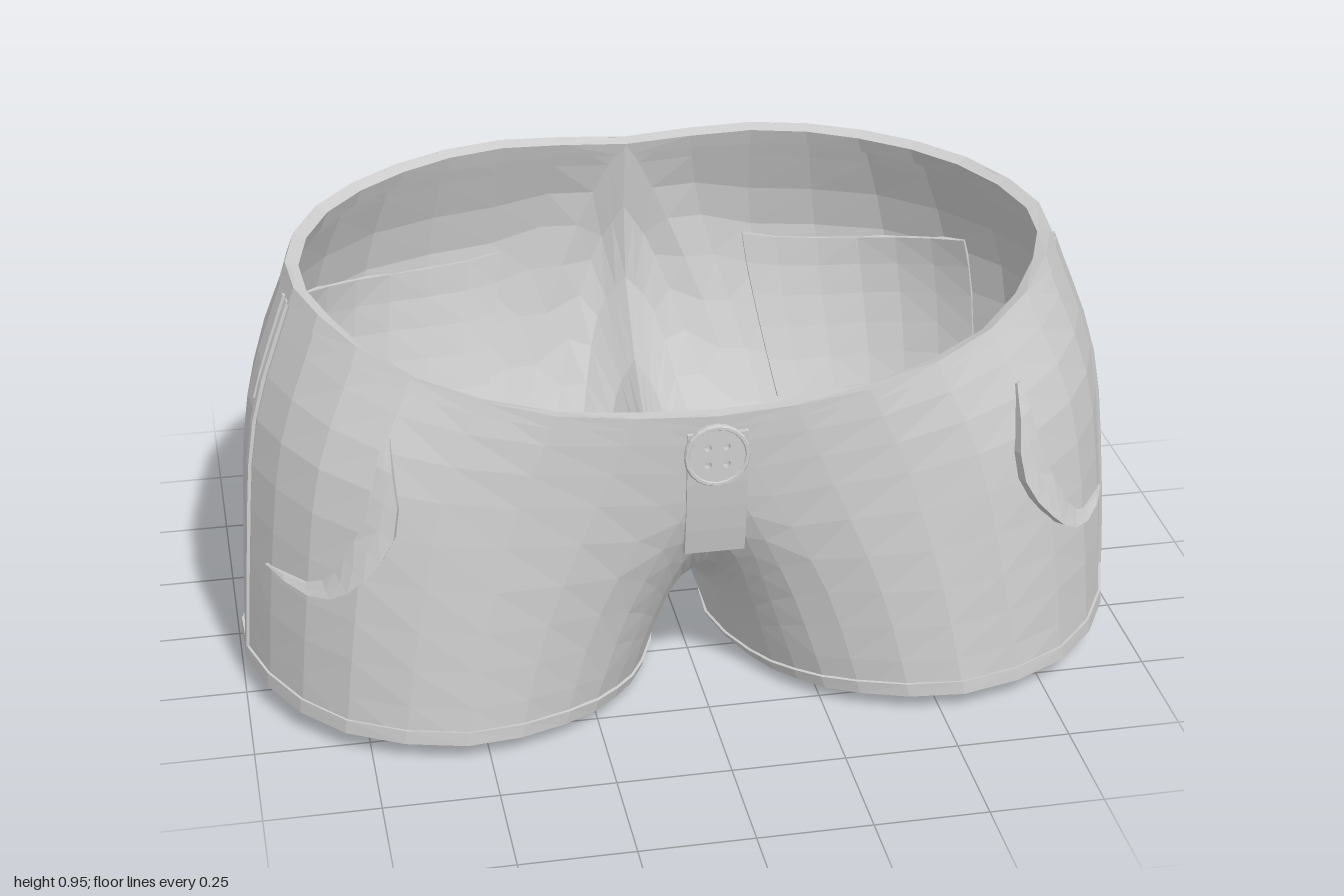
import * as THREE from 'three';

const material = new THREE.MeshStandardMaterial({ color: 0xcccccc, flatShading: true, side: THREE.DoubleSide });

const toPoints = (a) => a.map((p) => new THREE.Vector3(...p));

// One half of the garment is a loft between closed loops, from the waist and centre seam to the leg opening.
// Points 0-8 run back to front round the outside, 8-13 return along the crotch.
const waist = toPoints([
  [0, .935, -.54], [.3, .955, -.525], [.55, .95, -.44], [.75, .945, -.25], [.84, .945, .03], [.79, .92, .25], [.62, .845, .43],
  [.33, .785, .54], [0, .77, .57], [0, .55, .555], [0, .36, .46], [0, .2, .15], [0, .28, -.25], [0, .57, -.545],
]);
const hip = [
  [.11, .7, -.58], [.32, .66, -.6], [.63, .66, -.505], [.86, .65, -.27], [.945, .65, .06], [.89, .65, .3], [.72, .62, .49],
  [.42, .58, .555], [.12, .56, .56], [.07, .45, .535], [.05, .3, .42], [.03, .15, .15], [.035, .19, -.22], [.07, .47, -.545],
];
const thigh = [
  [.23, .37, -.51], [.38, .34, -.5], [.66, .34, -.44], [.88, .34, -.25], [.975, .34, .08], [.93, .34, .32], [.77, .32, .515],
  [.5, .3, .585], [.25, .3, .55], [.14, .25, .48], [.095, .17, .375], [.05, .085, .15], [.065, .1, -.15], [.13, .25, -.41],
];
const legOpening = [
  [.3, .008, -.275], [.45, .008, -.305], [.65, .02, -.315], [.87, .04, -.19], [.99, .06, .08], [.95, .06, .32], [.8, .05, .52],
  [.55, .045, .61], [.33, .04, .555], [.21, .035, .465], [.13, .03, .345], [.07, .022, .14], [.1, .016, -.06], [.18, .01, -.2],
];

const spline = (pts, closed) => new THREE.CatmullRomCurve3(pts, closed, 'catmullrom', 0.5);
const waistEdge = spline(waist.slice(0, 9), false);
const centreSeam = spline([...waist.slice(8), waist[0]], false);
const lowerLoops = [hip, thigh, legOpening].map((a) => spline(toPoints(a), true));

// Point on the cloth: u = 0..14 around the loop, v = 0 (top) .. 1 (leg opening)
function surfacePoint(u, v) {
  u = ((u % 14) + 14) % 14;
  const top = u <= 8 ? waistEdge.getPoint(u / 8) : centreSeam.getPoint((u - 8) / 6);
  const column = [top, ...lowerLoops.map((c) => c.getPoint(u / 14))];
  return spline(column, false).getPoint(Math.min(1, Math.max(0, v)));
}

function surfaceNormal(u, v, lo, hi) {
  const e = 0.05;
  const du = surfacePoint(Math.min(hi, u + e), v).sub(surfacePoint(Math.max(lo, u - e), v));
  const dv = surfacePoint(u, Math.min(1, v + e)).sub(surfacePoint(u, Math.max(0, v - e)));
  return du.cross(dv).normalize();
}

// Joins rows of points into a surface, splitting each quad along its shorter diagonal
function loft(rows, extraFaces = []) {
  const n = rows[0].length, pts = rows.flat();
  const index = [...extraFaces];
  for (let i = 0; i < rows.length - 1; i++) {
    for (let j = 0; j < n - 1; j++) {
      const a = i * n + j, b = a + n;
      if (pts[b].distanceTo(pts[a + 1]) < pts[a].distanceTo(pts[b + 1])) index.push(a, b, a + 1, b, b + 1, a + 1);
      else index.push(a, b, b + 1, a, b + 1, a + 1);
    }
  }
  const g = new THREE.BufferGeometry().setFromPoints(pts);
  g.setIndex(index);
  g.computeVertexNormals();
  return g;
}

// Raised piece of cloth following the surface; place(s, t) returns [u, v, outward lift]
function slab(place, ns, nt, depth, lo = -99, hi = 99) {
  const rows = [];
  for (let i = 0; i <= ns; i++) {
    const outer = [], inner = [];
    for (let j = 0; j <= nt; j++) {
      const [u, v, lift] = place(i / ns, j / nt);
      const p = surfacePoint(u, v), normal = surfaceNormal(u, v, lo, hi);
      outer.push(p.clone().addScaledVector(normal, lift));
      inner.unshift(p.clone().addScaledVector(normal, -depth));
    }
    rows.push([...outer, ...inner, outer[0].clone()]);
  }
  const n = rows[0].length, caps = [];
  for (const start of [0, ns * n]) {
    for (let j = 0; j < nt; j++) {
      const a = start + j, b = start + 2 * nt + 1 - j;
      caps.push(a, a + 1, b, a + 1, b - 1, b);
    }
  }
  return loft(rows, caps);
}

function add(parent, name, geometry) {
  const mesh = new THREE.Mesh(geometry, material);
  mesh.name = name;
  parent.add(mesh);
  return mesh;
}

function createHalf(name) {
  const half = new THREE.Group();
  half.name = name;

  // Main cloth
  const rows = [];
  for (let i = 0; i <= 9; i++) {
    rows.push(Array.from({ length: 29 }, (_, j) => surfacePoint(j / 2, i / 9)));
  }
  add(half, 'legCloth', loft(rows));

  // Waistband and leg hem
  add(half, 'waistband', slab((s, t) => [8 * s, 0.045 * t, 0.005], 16, 1, 0.026, 0, 8));
  add(half, 'legHem', slab((s, t) => [14 * s, 0.96 + 0.04 * t, 0.006], 28, 1, 0.008));

  // Side seam with a short second fold at the top
  add(half, 'sideSeam', slab((s, t) => [4.4 + 0.04 * s + 0.06 * t, 0.04 + 0.92 * s, 0.007], 9, 1, 0.012));
  add(half, 'seamFold', slab((s, t) => [4.29 - 0.03 * s + 0.05 * t, 0.04 + 0.26 * s, 0.008 - 0.006 * s], 4, 1, 0.012));

  // Back pocket, standing open a little along its dipped top edge
  add(half, 'backPocket', slab((s, t) => {
    const u = 0.9 + 1.8 * s - 0.1 * t * (1 - s);
    const topV = 0.36 - 0.07 * s + 0.035 * Math.sin(Math.PI * s);
    const bottomV = 0.76 - 0.06 * s;
    return [u, topV + (bottomV - topV) * t, 0.006 + 0.012 * (1 - t) ** 2];
  }, 6, 5, 0.012));

  // Curved flap of the front pocket, widest in its upper half and tapering to both ends
  const lipPath = spline(toPoints([[6.02, 0.18, 0], [6.25, 0.4, 0], [6.08, 0.54, 0], [5.7, 0.625, 0], [4.95, 0.645, 0]]), false);
  add(half, 'frontPocketLip', slab((s, t) => {
    const p = lipPath.getPoint(s);
    const swell = Math.sin(Math.PI * s);
    return [p.x - t * (0.04 + 0.36 * swell * (1 - s)), p.y - t * 0.03 * swell, 0.006 + 0.024 * swell * (1 - t)];
  }, 10, 2, 0.01));
  return half;
}

function createButton() {
  const button = new THREE.Group();
  button.name = 'button';
  const disc = new THREE.Shape().absarc(0, 0, 0.068, 0, Math.PI * 2);
  for (const x of [-0.02, 0.02]) {
    for (const y of [-0.02, 0.02]) disc.holes.push(new THREE.Path().absarc(x, y, 0.008, 0, Math.PI * 2, true));
  }
  add(button, 'buttonDisc', new THREE.ExtrudeGeometry(disc, { depth: 0.016, bevelEnabled: false, curveSegments: 10 }));
  add(button, 'buttonRim', new THREE.TorusGeometry(0.065, 0.006, 6, 20)).position.z = 0.014;
  button.position.set(-0.005, 0.685, 0.576);
  button.rotation.x = -0.04;
  return button;
}

export function createModel() {
  const shorts = new THREE.Group();
  shorts.name = 'shorts';
  const left = createHalf('leftHalf');
  const right = createHalf('rightHalf');
  right.scale.x = -1;
  shorts.add(left, right);

  // Fly flap, curved back towards the crotch
  const fly = new THREE.BoxGeometry(0.13, 0.3, 0.024, 2, 5, 1);
  const pos = fly.attributes.position;
  for (let i = 0; i < pos.count; i++) {
    const drop = 0.15 - pos.getY(i);
    pos.setZ(i, pos.getZ(i) + 0.564 - 0.32 * drop * drop);
  }
  fly.translate(0, 0.58, 0);
  add(shorts, 'fly', fly);

  shorts.add(createButton());
  return shorts;
}
